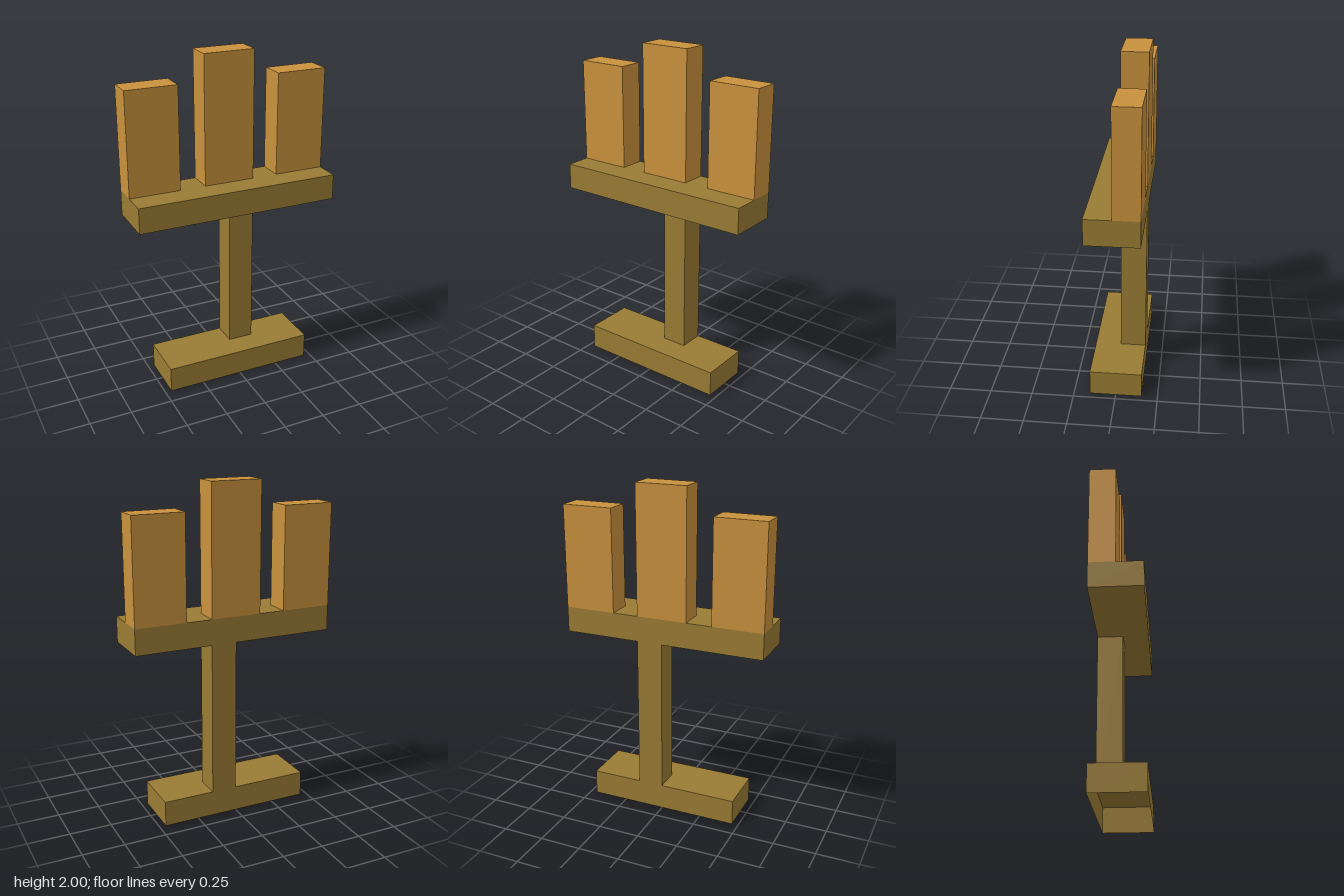
import * as THREE from 'three';

const U = 2 / 13; // grid unit: the model is 13 units tall

export function createModel() {
  const group = new THREE.Group();
  const darkWood = new THREE.MeshStandardMaterial({ color: 0x997b34, side: THREE.DoubleSide });
  darkWood.name = 'dark wood';
  const lightWood = new THREE.MeshStandardMaterial({ color: 0xc8913c });
  lightWood.name = 'light wood';

  // Box between two corners given in grid units
  function block(name, material, [x0, y0, z0], [x1, y1, z1]) {
    const geometry = new THREE.BoxGeometry((x1 - x0) * U, (y1 - y0) * U, (z1 - z0) * U);
    const mesh = new THREE.Mesh(geometry, material);
    mesh.position.set((x0 + x1) / 2 * U, (y0 + y1) / 2 * U, (z0 + z1) / 2 * U);
    mesh.name = name;
    group.add(mesh);
    return mesh;
  }

  // Hollow base, open underneath: drop the bottom face of the box
  const base = block('base', darkWood, [-3, 0, -1], [3, 1, 1]);
  const faces = Array.from(base.geometry.index.array);
  faces.splice(18, 6);
  base.geometry.setIndex(faces);
  base.geometry.clearGroups();

  // Off-centre post and the crossbar it carries
  block('post', darkWood, [0, 1, -1], [1, 7, 0]);
  block('crossbar', darkWood, [-4, 7, -1], [4, 8, 1]);

  // Three upright panels along the back of the crossbar
  block('rightPanel', lightWood, [-4, 8, -1], [-2, 12, 0]);
  block('middlePanel', lightWood, [-1, 8, -1], [1, 13, 0]);
  block('leftPanel', lightWood, [2, 8, -1], [4, 12, 0]);

  return group;
}
